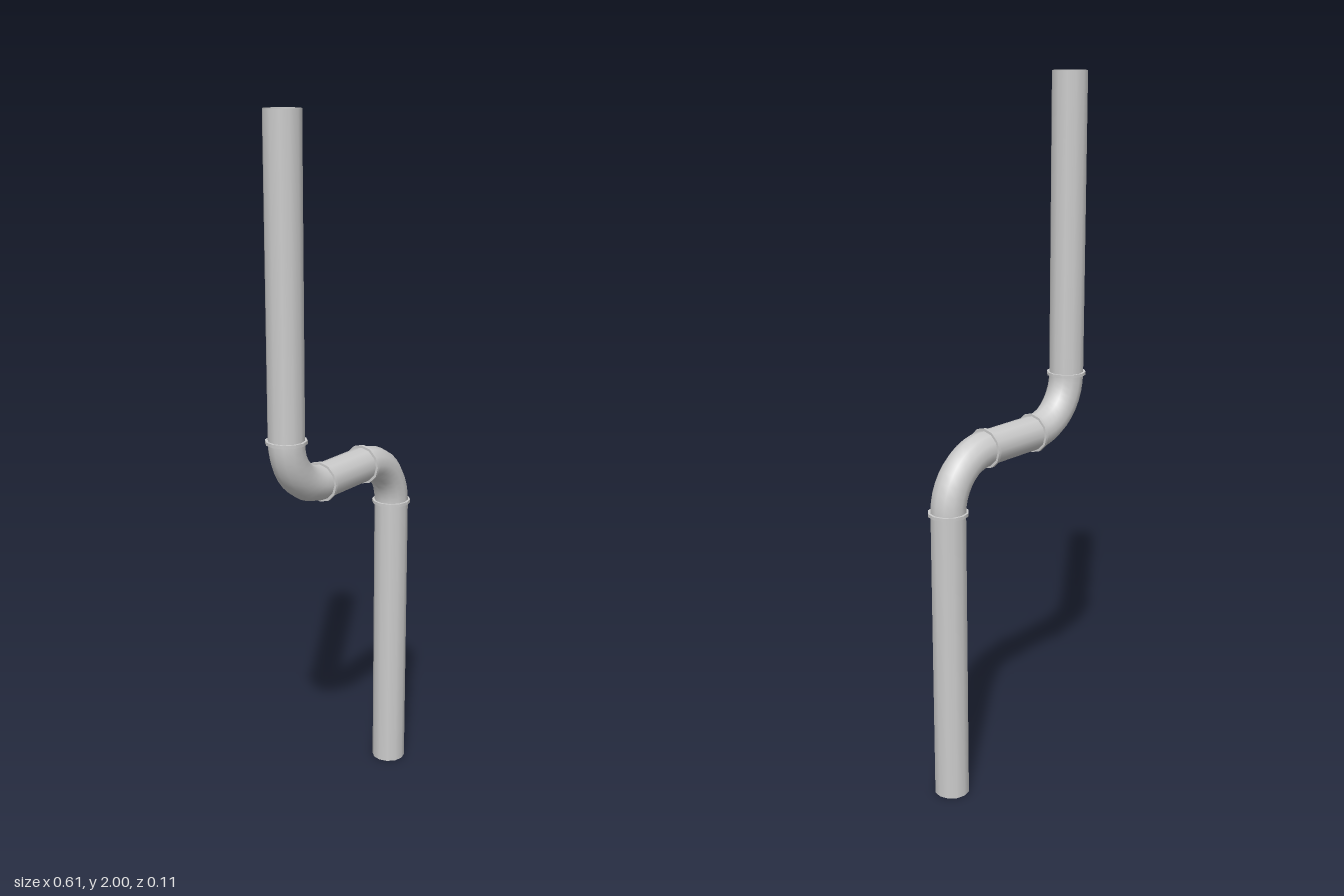
import * as THREE from 'three';
import { toCreasedNormals } from 'three/addons/utils/BufferGeometryUtils.js';

const SIDES = 12, R = 0.05, COLLAR_R = 0.057, COLLAR_H = 0.0045;
const BEND = 0.15, RUN = 0.85, HALF = 0.1;

export function createModel() {
  const model = new THREE.Group();
  model.name = 'offsetPipe';
  const material = new THREE.MeshStandardMaterial({ color: 0xcccccc, side: THREE.DoubleSide });

  const add = (parent, name, geometry, x, y, turn = 0) => {
    const mesh = new THREE.Mesh(geometry, material);
    mesh.name = name;
    mesh.position.set(x, y, 0);
    mesh.rotation.z = turn;
    parent.add(mesh);
  };
  const pipe = (length) => new THREE.CylinderGeometry(R, R, length, SIDES, 1, true);

  // Thin flange around each joint
  const collar = toCreasedNormals(new THREE.LatheGeometry([
    new THREE.Vector2(R, -COLLAR_H),
    new THREE.Vector2(COLLAR_R, -COLLAR_H),
    new THREE.Vector2(COLLAR_R, COLLAR_H),
    new THREE.Vector2(R, COLLAR_H),
  ], SIDES), 0.6);
  const elbow = new THREE.TorusGeometry(BEND, R, SIDES, 10, Math.PI / 2);
  const longPipe = pipe(RUN);

  // Horizontal link between the two elbows
  add(model, 'middlePipe', pipe(HALF * 2), 0, 1, Math.PI / 2);

  // Lower half, and the same half turned upside down for the top
  ['lower', 'upper'].forEach((name, i) => {
    const half = new THREE.Group();
    half.name = name + 'Half';
    half.position.y = 1;
    half.rotation.z = i * Math.PI;
    add(half, name + 'Pipe', longPipe, HALF + BEND, -BEND - RUN / 2);
    add(half, name + 'Elbow', elbow, HALF, -BEND);
    add(half, name + 'OuterCollar', collar, HALF + BEND, -BEND);
    add(half, name + 'InnerCollar', collar, HALF, 0, Math.PI / 2);
    model.add(half);
  });
  return model;
}
